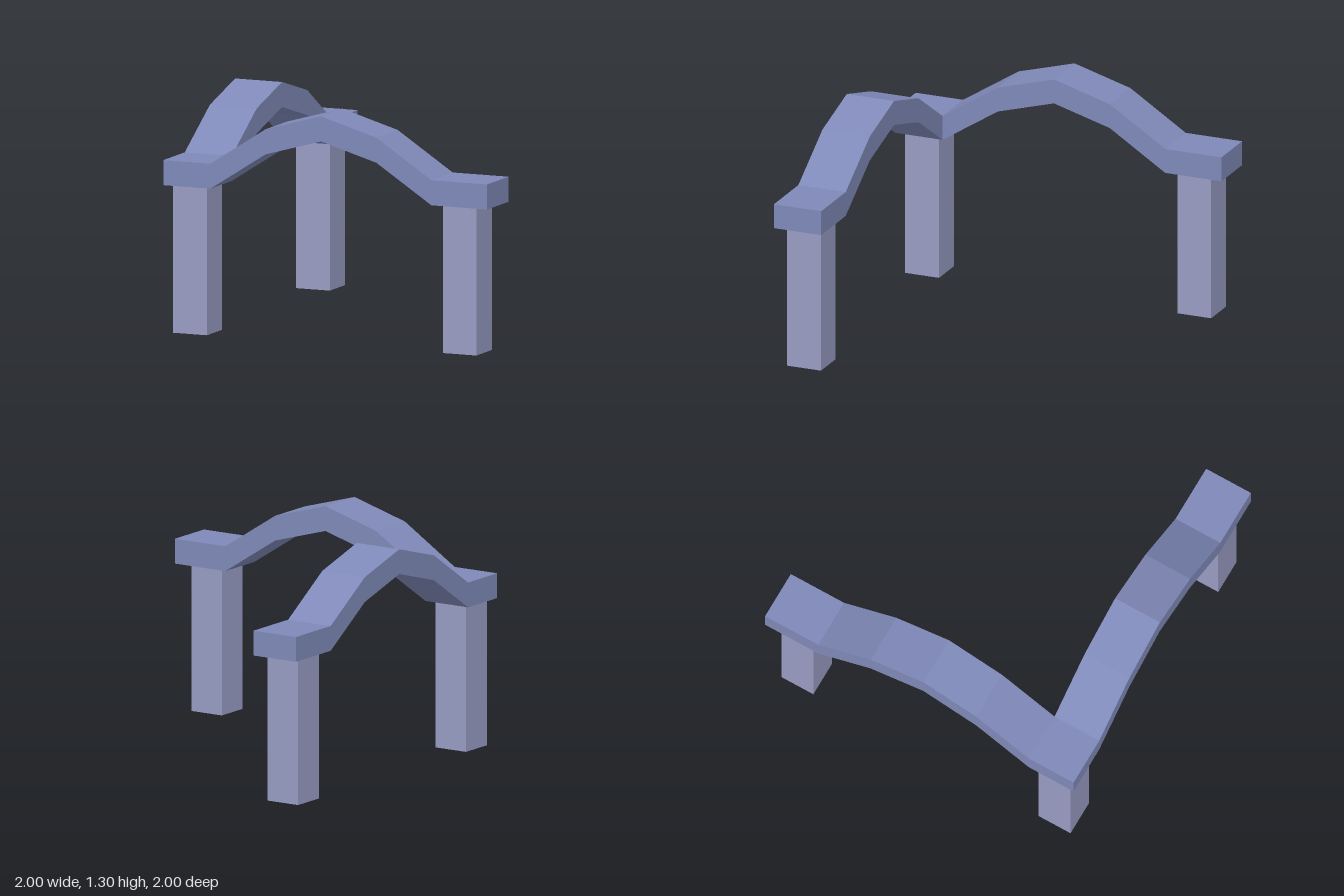
import * as THREE from 'three';

const beamMaterial = new THREE.MeshStandardMaterial({ color: 0x7f89b8, flatShading: true });
const legMaterial = new THREE.MeshStandardMaterial({ color: 0x989cc2, flatShading: true });

const WIDTH = 0.29, THICKNESS = 0.143;
// Top edge of the arched beam: distance along the beam, height
const ARCH = [[-0.71, 0.988], [-0.37, 1.207], [-0.027, 1.305], [0.315, 1.207], [0.655, 0.988], [1, 0.988]];

// Beam of constant vertical thickness following a top edge
function beamGeometry(topEdge) {
  const bottomEdge = topEdge.map(([u, y]) => [u, y - THICKNESS]).reverse();
  const outline = [...topEdge, ...bottomEdge].map(([u, y]) => new THREE.Vector2(u, y));
  return new THREE.ExtrudeGeometry(new THREE.Shape(outline), { depth: WIDTH, bevelEnabled: false });
}

export function createModel() {
  const model = new THREE.Group();
  model.name = 'cornerArches';

  function add(name, geometry, material) {
    const mesh = new THREE.Mesh(geometry, material);
    mesh.name = name;
    model.add(mesh);
  }

  // Front arch, including the flat corner pad
  add('frontArch', beamGeometry([[-1, 0.988], ...ARCH]).translate(0, 0, 0.71), beamMaterial);

  // Side arch, running back from the corner pad
  add('sideArch', beamGeometry(ARCH).rotateY(Math.PI / 2).translate(-1, 0, 0), beamMaterial);

  // Square legs under the three flat pads
  const legHeight = 0.988 - THICKNESS;
  const legs = { cornerLeg: [-0.855, 0.853], leftLeg: [0.81, 0.853], backLeg: [-0.855, -0.815] };
  for (const [name, [x, z]] of Object.entries(legs)) {
    add(name, new THREE.BoxGeometry(0.208, legHeight, 0.208).translate(x, legHeight / 2, z), legMaterial);
  }

  return model;
}
